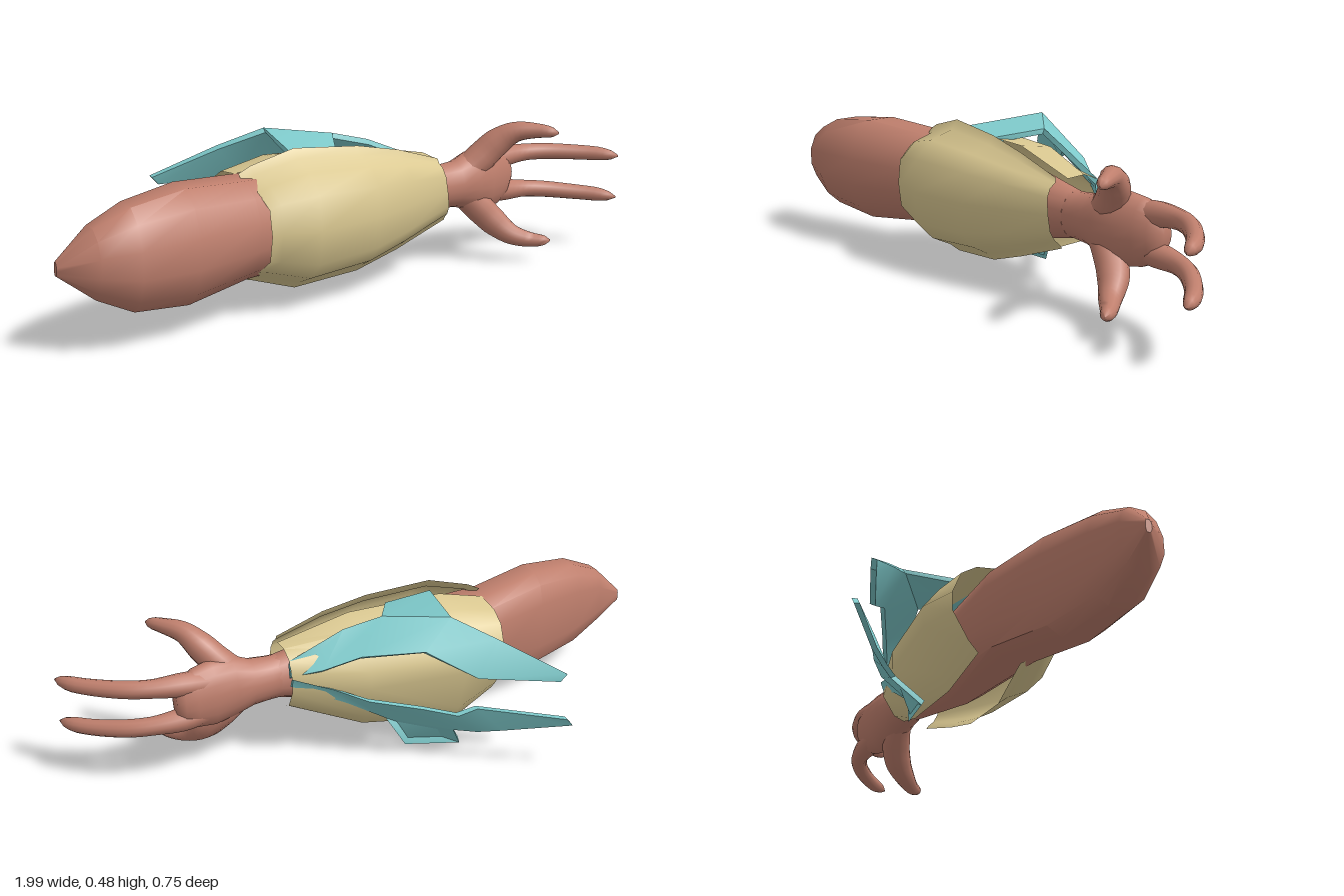
import * as THREE from 'three';
import { toCreasedNormals } from 'three/addons/utils/BufferGeometryUtils.js';

const skin = new THREE.MeshStandardMaterial({ color: 0xbf7f6d });
skin.name = 'terracotta skin';
const armour = new THREE.MeshStandardMaterial({ color: 0xdac891, side: THREE.DoubleSide });
armour.name = 'sand armour';
const blade = new THREE.MeshStandardMaterial({ color: 0x7fcbcc, side: THREE.DoubleSide });
blade.name = 'teal blade';

// Skins a list of cross-sections (each a list of [x, y, z]).
function loft(sections, { closed = true, caps = closed, crease = 0.6 } = {}) {
  const n = sections[0].length, pos = sections.flat(2), idx = [];
  const m = closed ? n : n - 1;
  for (let i = 0; i < sections.length - 1; i++) {
    for (let j = 0; j < m; j++) {
      const a = i * n + j, b = i * n + (j + 1) % n;
      idx.push(a, b, a + n, b, b + n, a + n);
    }
  }
  if (caps) {
    [0, sections.length - 1].forEach((s, end) => {
      const c = pos.length / 3;
      for (let k = 0; k < 3; k++) pos.push(sections[s].reduce((t, p) => t + p[k], 0) / n);
      for (let j = 0; j < n; j++) {
        const a = s * n + j, b = s * n + (j + 1) % n;
        if (end) idx.push(c, a, b); else idx.push(c, b, a);
      }
    });
  }
  const g = new THREE.BufferGeometry();
  g.setAttribute('position', new THREE.Float32BufferAttribute(pos, 3));
  g.setIndex(idx);
  return toCreasedNormals(g, crease);
}

// Oval ring at x, spanning y0..y1 and z0..z1; a back power below 1 squares off the back half.
function oval([x, y0, y1, z0, z1], sides, back = 1) {
  return Array.from({ length: sides }, (_, j) => {
    const t = (j + 0.5) / sides * Math.PI * 2, c = Math.cos(t), s = Math.sin(t);
    const p = s < 0 ? back : 1;
    const bend = v => Math.sign(v) * Math.abs(v) ** p;
    return [x, (y0 + y1) / 2 + bend(c) * (y1 - y0) / 2 * 1.02, (z0 + z1) / 2 + bend(s) * (z1 - z0) / 2 * 1.02];
  });
}

// Tapered finger; every control point is [x, y, z, radius].
function finger(points) {
  const curve = new THREE.CatmullRomCurve3(points.map(p => new THREE.Vector3(p[0], p[1], p[2])));
  const steps = 22, frames = curve.computeFrenetFrames(steps), sections = [];
  for (let i = 0; i <= steps; i++) {
    const u = i / steps, c = curve.getPointAt(u), f = curve.getUtoTmapping(u) * (points.length - 1);
    const k = Math.min(Math.floor(f), points.length - 2);
    let r = THREE.MathUtils.lerp(points[k][3], points[k + 1][3], f - k);
    const e = Math.max(0, (u - 0.9) / 0.1);
    r *= Math.sqrt(Math.max(0.03, 1 - e * e));
    sections.push(Array.from({ length: 12 }, (_, j) => {
      const t = j / 12 * Math.PI * 2;
      return c.clone().addScaledVector(frames.normals[i], r * Math.cos(t))
        .addScaledVector(frames.binormals[i], r * Math.sin(t)).toArray();
    }));
  }
  return loft(sections, { crease: 1.3 });
}

// Thin plate running through pairs of edge points, thickened towards the arm.
function plate(pairs) {
  const inward = ([x, y, z]) => {
    const dy = 0.25 - y, dz = 0.08 - z, d = 0.018 / Math.hypot(dy, dz);
    return [x, y + dy * d, z + dz * d];
  };
  return loft(pairs.map(([a, b]) => [a, b, inward(b), inward(a)]), { crease: 0.8 });
}

export function createModel() {
  const model = new THREE.Group();
  model.name = 'armouredArm';
  const add = (name, geometry, material, parent = model) => {
    const mesh = new THREE.Mesh(geometry, material);
    mesh.name = name;
    parent.add(mesh);
  };

  // Arm with a flattened back and a blunt elbow end
  add('forearm', loft([
    [-1, 0.235, 0.275, 0.24, 0.26], [-0.91, 0.165, 0.365, 0.215, 0.352],
    [-0.8, 0.11, 0.41, 0.178, 0.372], [-0.62, 0.088, 0.43, 0.115, 0.355],
    [-0.4, 0.11, 0.41, 0.045, 0.298], [0, 0.13, 0.4, 0.02, 0.25], [0.34, 0.2, 0.34, 0.055, 0.17],
  ].map((s, i) => oval(s, 12, i < 5 ? 0.6 : 1)), { crease: 0.7 }), skin);

  // Hand
  const hand = new THREE.Group();
  hand.name = 'hand';
  model.add(hand);
  add('palm', loft([
    [0.3, 0.2, 0.34, 0.06, 0.17], [0.36, 0.2, 0.34, 0.052, 0.168], [0.42, 0.195, 0.345, 0.045, 0.168],
    [0.48, 0.175, 0.37, 0.035, 0.17], [0.55, 0.16, 0.375, 0.028, 0.155], [0.61, 0.17, 0.365, 0.022, 0.13],
    [0.65, 0.19, 0.345, 0.024, 0.11], [0.675, 0.23, 0.31, 0.037, 0.09],
  ].map(s => oval(s, 20)), { crease: 1.3 }), skin, hand);
  add('upperFinger', finger([[0.54, 0.31, 0.08, 0.042], [0.65, 0.326, 0.064, 0.038], [0.74, 0.33, 0.068, 0.029],
    [0.81, 0.33, 0.092, 0.028], [0.89, 0.328, 0.145, 0.026], [0.95, 0.326, 0.2, 0.024], [0.992, 0.324, 0.26, 0.016]]), skin, hand);
  add('lowerFinger', finger([[0.54, 0.23, 0.08, 0.042], [0.65, 0.21, 0.064, 0.038], [0.74, 0.204, 0.068, 0.029],
    [0.81, 0.198, 0.092, 0.028], [0.89, 0.19, 0.145, 0.026], [0.95, 0.185, 0.2, 0.024], [0.992, 0.181, 0.258, 0.016]]), skin, hand);
  add('upperThumb', finger([[0.44, 0.29, 0.105, 0.045], [0.51, 0.345, 0.12, 0.05], [0.56, 0.4, 0.148, 0.046],
    [0.6, 0.437, 0.19, 0.034], [0.65, 0.446, 0.245, 0.024], [0.69, 0.443, 0.3, 0.016]]), skin, hand);
  add('lowerThumb', finger([[0.44, 0.25, 0.105, 0.045], [0.51, 0.185, 0.12, 0.05], [0.56, 0.13, 0.148, 0.046],
    [0.6, 0.092, 0.19, 0.034], [0.65, 0.077, 0.235, 0.024], [0.69, 0.08, 0.28, 0.016]]), skin, hand);

  // Front shell with flared lips: rows of x, bottom, top, edge z, front z, notch depth, slant
  const profile = [[1, 0], [0.93, 0.13], [0.87, 0.6], [0.74, 0.93], [0.5, 1], [0.26, 0.93], [0.13, 0.6], [0.06, 0.2], [0, 0]];
  add('frontShell', loft([
    [-0.4, 0.1, 0.42, 0.16, 0.305, 0.03, 0], [-0.36, 0.09, 0.44, 0.163, 0.315, 0.02, 0],
    [-0.22, 0.045, 0.477, 0.17, 0.335, 0, 0], [0, 0.065, 0.46, 0.178, 0.305, 0, 0],
    [0.15, 0.11, 0.43, 0.178, 0.262, 0, 0], [0.31, 0.175, 0.38, 0.165, 0.205, 0, 0.03],
  ].map(([x, y0, y1, z0, z1, notch, slant]) => profile.map(([v, w]) =>
    [x + notch * w + slant * (1 - v), y0 + (y1 - y0) * v, z0 + (z1 - z0) * w])), { closed: false, crease: 1 }), armour);

  // Back shell: cross-sections of [y, z]
  add('backShell', loft([
    [-0.39, [[0.41, 0.12], [0.4, 0.03], [0.37, -0.02], [0.3, -0.05], [0.24, -0.05], [0.15, 0], [0.115, 0.03]]],
    [-0.24, [[0.44, 0.135], [0.43, 0.02], [0.385, -0.03], [0.315, -0.085], [0.25, -0.08], [0.1, -0.03], [0.05, 0]]],
    [0.08, [[0.435, 0.13], [0.42, 0.02], [0.375, -0.02], [0.31, -0.06], [0.25, -0.06], [0.13, -0.015], [0.09, 0.02]]],
    [0.32, [[0.375, 0.13], [0.38, 0.07], [0.36, 0.02], [0.32, 0.002], [0.26, 0], [0.195, 0.04], [0.18, 0.075]]],
  ].map(([x, ring]) => ring.map(([y, z]) => [x, y, z])), { closed: false, crease: 0.9 }), armour);

  // Swept blades, each with a side foot
  add('upperBlade', plate([
    [[0.32, 0.36, 0.02], [0.32, 0.31, 0.01]], [[0.14, 0.435, 0.02], [0.23, 0.335, -0.035]],
    [[0.02, 0.465, 0], [0.12, 0.38, -0.08]], [[-0.16, 0.48, -0.12], [-0.06, 0.395, -0.155]],
    [[-0.28, 0.42, -0.21], [-0.2, 0.315, -0.24]], [[-0.46, 0.32, -0.33], [-0.44, 0.295, -0.325]],
  ]), blade);
  add('upperBladeFoot', plate([
    [[-0.16, 0.48, -0.12], [0.02, 0.465, 0]], [[-0.21, 0.455, 0.14], [-0.05, 0.442, 0.135]],
  ]), blade);
  add('lowerBlade', plate([
    [[0.32, 0.28, 0], [0.32, 0.31, -0.01]], [[0.15, 0.2, -0.025], [0.2, 0.265, -0.04]],
    [[0.02, 0.12, -0.03], [0.1, 0.225, -0.09]], [[-0.16, 0.1, -0.155], [-0.05, 0.205, -0.17]],
    [[-0.22, 0.105, -0.205], [-0.15, 0.18, -0.21]], [[-0.28, 0.125, -0.26], [-0.2, 0.21, -0.24]],
    [[-0.46, 0.165, -0.38], [-0.44, 0.19, -0.38]],
  ]), blade);
  add('lowerBladeFoot', plate([
    [[-0.16, 0.1, -0.155], [0.02, 0.12, -0.03]], [[-0.22, 0, -0.08], [-0.04, 0.02, -0.05]],
  ]), blade);
  return model;
}
